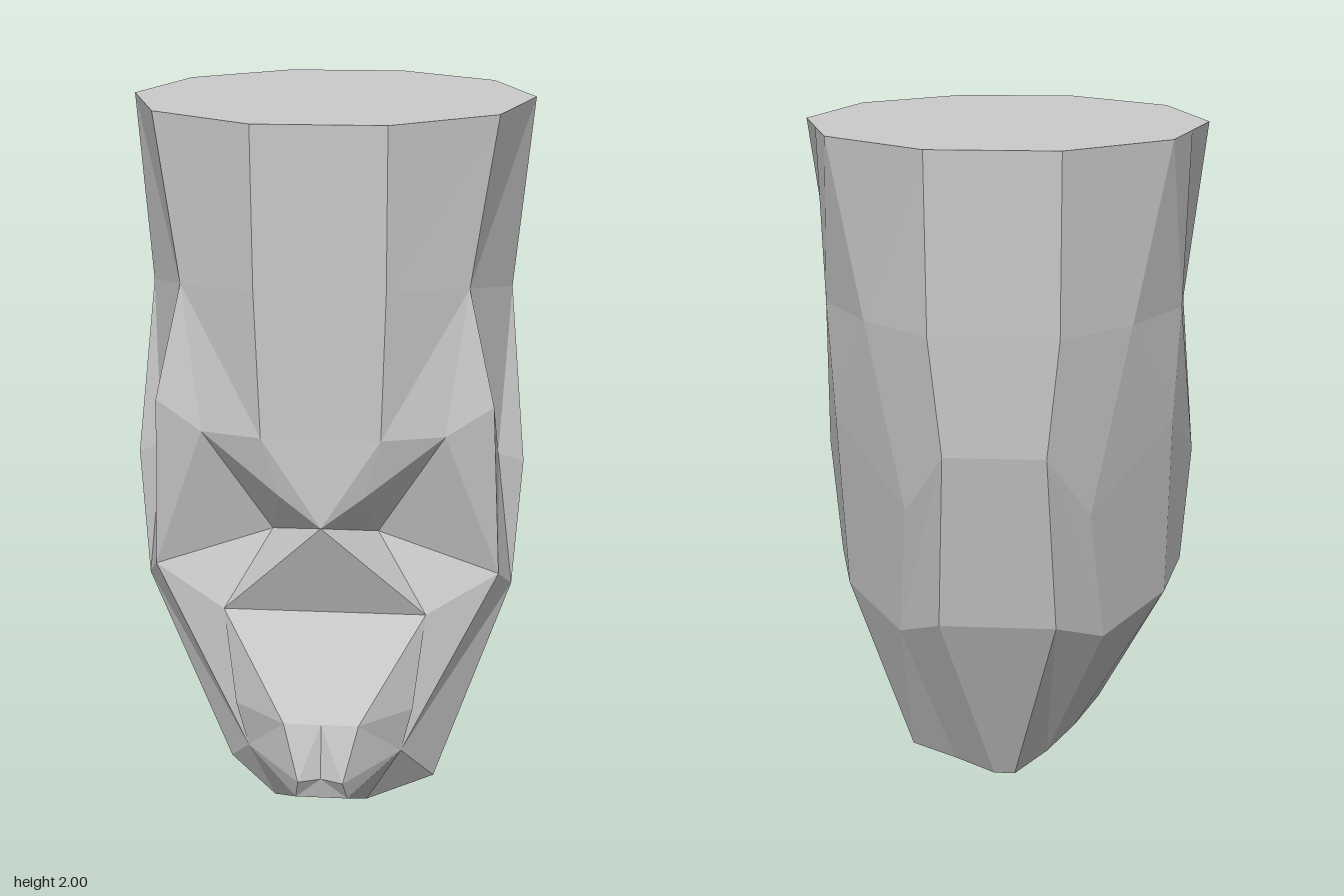
import * as THREE from 'three';

// Side and back of the head: rows from the crown down, each running
// face edge, cheek, side, rear corner, back.
const shell = [
  [[.42, 2, .30], [.52, 2, -.01], [.47, 2, -.165], [.42, 2, -.32], [.16, 2, -.51]],
  [[.36, 1.58, .33], [.475, 1.52, .06], [.462, 1.55, -.155], [.335, 1.55, -.345], [.16, 1.55, -.495]],
  [[.43, 1.28, .35], [.52, 1.06, .14], [.45, 1.24, -.15], [.24, 1.05, -.365], [.13, 1.24, -.48]],
  [[.46, .79, .28], [.5, .71, .165], [.45, .69, -.03], [.28, .64, -.23], [.155, .73, -.38]],
  [[.21, .28, .35], [.3, .125, .22], [.285, .13, .04], [.15, .125, -.03], [.03, .12, -.1]],
];

// Landmarks of one half of the face
const points = {
  crownMid: [0, 2, .485], crown: [.16, 2, .485],
  foreheadMid: [0, 1.6, .47], forehead: [.16, 1.6, .47],
  browMid: [0, 1.22, .455], brow: [.15, 1.22, .455],
  bridge: [0, .98, .455], eyeIn: [.11, 1.06, .435], eyeOut: [.31, 1.21, .385], eyeLow: [.14, .91, .295],
  noseMid: [0, .69, .34], nose: [.27, .69, .34],
  lipTopMid: [0, .42, .47], lipTop: [.1, .42, .47], mouth: [.24, .42, .365],
  lipMid: [0, .26, .48], lip: [.06, .26, .5],
  chinMid: [0, .19, .46], chin: [.07, .19, .46],
  jaw: [.11, .03, .21], base: [-.02, 0, .1],
  ear: [.45, 1.1, .19],
};
// Name the shell points e0..e4, s0.., t0.., r0.., b0.. and add the back centre line c0..c4
shell.forEach((row, i) => {
  row.push([0, row[4][1], row[4][2]]);
  row.forEach((p, j) => { points['estrbc'[j] + i] = p; });
});

// The jaw is uneven: these replace the mirrored points on the -x side
const rightPoints = {
  s4: [-.27, .19, .26], t4: [-.2, .165, .12], r4: [-.12, .14, 0],
  jaw: [-.15, .06, .25],
};

const faceFaces = [
  'foreheadMid forehead crown crownMid', 'browMid brow forehead foreheadMid',
  'forehead e1 e0 crown', 'brow eyeOut e1 forehead', 'eyeOut e2 e1',
  'bridge eyeIn brow browMid', 'eyeIn eyeOut brow',
  'eyeIn eyeLow eyeOut', 'bridge eyeLow eyeIn', 'bridge nose eyeLow', 'bridge noseMid nose',
  'eyeLow e3 eyeOut', 'eyeOut e3 e2', 'eyeLow nose e3', 'nose e4 e3', 'nose mouth e4',
];
const muzzleFaces = [
  'noseMid lipTopMid lipTop nose', 'nose lipTop mouth', 'lipTopMid lipMid lip lipTop',
  'lipTop lip e4 mouth', 'lipMid chinMid chin lip', 'lip chin e4',
];
const undersideFaces = [
  'chinMid base jaw chin', 'chin jaw e4', 'jaw s4 e4', 'base s4 jaw',
  'base t4 s4', 'base r4 t4', 'base b4 r4', 'base c4 b4',
];
const crownFaces = ['crownMid crown e0 s0 t0 r0 b0 c0'];
// Hollow between the face edge and the cheek
const earFaces = ['e1 e2 ear', 'e2 e3 ear', 'ear e3 s3 s2', 'ear s2 s1', 'ear s1 e1'];
const sideFaces = [];
for (let i = 0; i < 4; i++) {
  for (let j = 0; j < 5; j++) {
    if (j === 0 && (i === 1 || i === 2)) continue; // filled by the ear hollow
    const a = 'estrbc'[j], b = 'estrbc'[j + 1];
    sideFaces.push(`${a}${i + 1} ${b}${i + 1} ${b}${i} ${a}${i}`);
  }
}

const leftPoint = (key) => points[key];
function rightPoint(key) {
  const [x, y, z] = points[key];
  return rightPoints[key] ?? (key === 'base' ? points.base : [-x, y, z]);
}

// Fans each polygon into triangles on both sides of the head
function mirroredPart(name, faces, material) {
  const pos = [];
  for (const face of faces) {
    const keys = face.split(' ');
    const l = keys.map(leftPoint), r = keys.map(rightPoint);
    for (let k = 1; k < keys.length - 1; k++) {
      pos.push(...l[0], ...l[k], ...l[k + 1]);
      pos.push(...r[0], ...r[k + 1], ...r[k]);
    }
  }
  const geometry = new THREE.BufferGeometry();
  geometry.setAttribute('position', new THREE.Float32BufferAttribute(pos, 3));
  geometry.computeVertexNormals();
  const mesh = new THREE.Mesh(geometry, material);
  mesh.name = name;
  return mesh;
}

export function createModel() {
  const group = new THREE.Group();
  group.name = 'carvedHead';
  const material = new THREE.MeshStandardMaterial({ color: 0xcccccc, flatShading: true });
  group.add(
    mirroredPart('face', faceFaces, material),
    mirroredPart('muzzle', muzzleFaces, material),
    mirroredPart('chinUnderside', undersideFaces, material),
    mirroredPart('ears', earFaces, material),
    mirroredPart('sidesAndBack', sideFaces, material),
    mirroredPart('crown', crownFaces, material),
  );
  return group;
}
